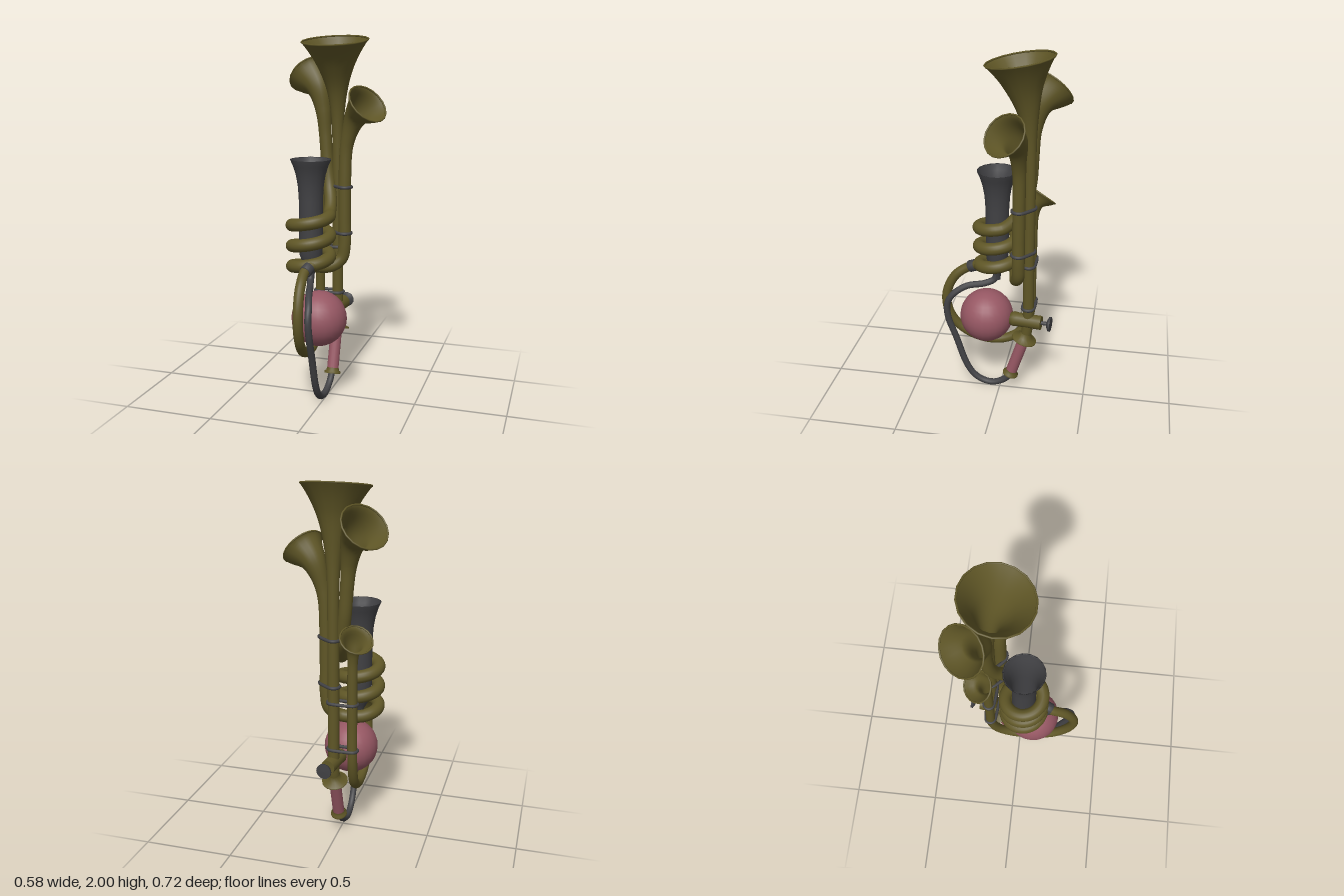
import * as THREE from 'three';
import { mergeVertices } from 'three/addons/utils/BufferGeometryUtils.js';

const V = (x, y, z) => new THREE.Vector3(x, y, z);
const mat = (name, color) => {
  const m = new THREE.MeshStandardMaterial({ color, side: THREE.DoubleSide });
  m.name = name;
  return m;
};

export function createModel() {
  const brass = mat('dull brass', 0x5f5626);
  const rubber = mat('pink rubber', 0x965763);
  const dark = mat('dark grey', 0x414144);
  const model = new THREE.Group();

  const add = (name, geometry, material) => {
    const mesh = new THREE.Mesh(geometry, material);
    mesh.name = name;
    model.add(mesh);
    return mesh;
  };
  const path = (points, closed = false) => {
    const c = new THREE.CatmullRomCurve3(points, closed);
    c.arcLengthDivisions = 800;
    return c;
  };
  const tube = (name, points, r, material, n = 64, closed = false) =>
    add(name, new THREE.TubeGeometry(path(points, closed), n, r, 10, closed), material);

  // Pipe that flares into a bell at its end and, optionally, at its start
  const flare = (bell, d, stem) =>
    bell ? stem + (bell.r - stem) * Math.max(0, 1 - d / bell.length) ** 3.3 : stem;
  const hornPipe = (name, points, stem, end, start, n) => {
    const curve = path(points);
    const length = curve.getLength();
    const sides = 18;
    const g = new THREE.TubeGeometry(curve, n, 1, sides);
    const p = g.attributes.position, nor = g.attributes.normal;
    for (let i = 0; i <= n; i++) {
      const c = curve.getPointAt(i / n);
      const d = (length * i) / n;
      const r = Math.max(flare(start, d, stem), flare(end, length - d, stem));
      for (let j = 0; j <= sides; j++) {
        const k = i * (sides + 1) + j;
        p.setXYZ(k, c.x + nor.getX(k) * r, c.y + nor.getY(k) * r, c.z + nor.getZ(k) * r);
      }
    }
    g.deleteAttribute('normal');
    g.deleteAttribute('uv');
    const smooth = mergeVertices(g, 1e-5);
    smooth.computeVertexNormals();
    add(name, smooth, brass);
    // Rolled rims
    [[end, 1], [start, 0]].forEach(([bell, t]) => {
      if (!bell) return;
      const rim = add(name + 'Rim', new THREE.TorusGeometry(bell.r - 0.003, 0.005, 6, sides), brass);
      rim.position.copy(curve.getPointAt(t));
      rim.quaternion.setFromUnitVectors(V(0, 0, 1), curve.getTangentAt(t));
    });
  };

  // Turned part with its axis running from a towards b; profile pairs are [radius, distance]
  const turned = (name, a, b, profile, material) => {
    const g = new THREE.LatheGeometry(profile.map(([r, d]) => new THREE.Vector2(r, d)), 18);
    const mesh = add(name, g, material);
    mesh.position.copy(a);
    mesh.quaternion.setFromUnitVectors(V(0, 1, 0), b.clone().sub(a).normalize());
  };
  const disc = (r, h, d = 0) => [[0, d], [r, d], [r, d], [r, d + h], [r, d + h], [0, d + h]];

  // Main pipe: tall bell, straight stem, bent foot
  hornPipe('mainHorn', [
    V(0.005, 0.33, -0.138), V(0.005, 0.39, -0.156), V(0.005, 0.47, -0.165), V(0.005, 0.8, -0.165),
    V(0.005, 1.2, -0.165), V(0.005, 1.5, -0.163), V(0.005, 1.7, -0.15), V(0.005, 1.85, -0.125),
    V(0.005, 1.97, -0.105),
  ], 0.031, { r: 0.183, length: 0.65 }, null, 90);

  // Right-hand bell, coil and rear bell are one continuous pipe
  const coilX = -0.09, coilZ = 0.028, coilR = 0.104;
  const coil = [];
  for (let i = 0; i <= 34; i++) {
    const turn = 0.05 + (2.78 * i) / 34;
    const a = 1.5 * Math.PI - turn * Math.PI * 2;
    coil.push(V(coilX + coilR * Math.cos(a), 0.72 + 0.115 * turn, coilZ + coilR * Math.sin(a)));
  }
  hornPipe('coiledHorn', [
    V(0.2, 1.64, -0.06), V(0.125, 1.57, -0.105), V(0.072, 1.42, -0.115), V(0.06, 1.2, -0.115),
    V(0.06, 1.0, -0.115), V(0.06, 0.85, -0.115), V(0.045, 0.775, -0.112), V(-0.01, 0.73, -0.09),
    ...coil,
    V(-0.012, 1.1, -0.085), V(-0.035, 1.18, -0.135), V(-0.055, 1.3, -0.16), V(-0.068, 1.45, -0.167),
    V(-0.082, 1.6, -0.17), V(-0.112, 1.715, -0.192), V(-0.18, 1.79, -0.25),
  ], 0.035, { r: 0.13, length: 0.48 }, { r: 0.119, length: 0.42 }, 320);

  // Lower loop rising into the small rear bell
  hornPipe('loopHorn', [
    V(0.005, 0.81, 0.05), V(-0.035, 0.79, 0.12), V(-0.072, 0.765, 0.17), V(-0.07, 0.7, 0.265),
    V(-0.065, 0.6, 0.317), V(-0.065, 0.5, 0.323), V(-0.07, 0.4, 0.285), V(-0.08, 0.32, 0.205),
    V(-0.085, 0.28, 0.09), V(-0.09, 0.288, -0.02), V(-0.095, 0.345, -0.11), V(-0.1, 0.46, -0.16),
    V(-0.1, 0.7, -0.168), V(-0.1, 0.95, -0.17), V(-0.102, 1.08, -0.172), V(-0.11, 1.16, -0.182),
    V(-0.132, 1.205, -0.212),
  ], 0.027, { r: 0.09, length: 0.2 }, null, 150);
  turned('loopClamp', V(-0.06, 0.776, 0.148), V(-0.073, 0.755, 0.19),
    [[0.026, 0], [0.034, 0], [0.034, 0.04], [0.026, 0.04]], dark);

  // Dark upright horn inside the coil
  turned('darkHorn', V(coilX, 0, coilZ), V(coilX, 1, coilZ), [
    [0.017, 0.68], [0.022, 0.73], [0.045, 0.77], [0.064, 0.82], [0.066, 0.9], [0.066, 1.12],
    [0.071, 1.2], [0.081, 1.26], [0.096, 1.31], [0.112, 1.345], [0.106, 1.343],
  ], dark);

  // Hose from the grip up to the dark horn
  tube('hose', [
    V(0.002, 0.12, -0.075), V(-0.002, 0.06, -0.035), V(-0.006, 0.024, 0.03), V(-0.01, 0.024, 0.09),
    V(-0.01, 0.058, 0.15), V(-0.01, 0.125, 0.197), V(-0.01, 0.31, 0.26), V(-0.01, 0.45, 0.307),
    V(-0.014, 0.53, 0.31), V(-0.02, 0.59, 0.28), V(-0.045, 0.642, 0.2), V(-0.072, 0.655, 0.1),
    V(-0.088, 0.68, 0.045), V(-0.09, 0.74, 0.028),
  ], 0.019, dark, 110);

  // Squeeze bulb with its valve and screw knob
  const bulb = add('bulb', new THREE.SphereGeometry(0.153, 24, 16), rubber);
  bulb.position.set(-0.027, 0.475, 0.08);
  const valveStart = V(-0.007, 0.478, -0.055), valveEnd = V(0.024, 0.478, -0.3);
  turned('valve', valveStart, valveEnd,
    [[0, 0], [0.033, 0], [0.043, 0.03], [0.04, 0.05], [0.04, 0.19], [0.04, 0.19], [0, 0.19]], brass);
  turned('knobRod', valveStart, valveEnd, disc(0.011, 0.06, 0.18), dark);
  turned('knob', valveStart, valveEnd,
    [[0, 0.222], [0.022, 0.224], [0.042, 0.234], [0.042, 0.245], [0.042, 0.245], [0, 0.247]], dark);

  // Pink grip between a brass guard and end cap
  const gripTop = V(0.005, 0.36, -0.147), gripEnd = V(0.005, 0.1, -0.064);
  turned('guard', gripTop, gripEnd,
    [[0.031, -0.04], [0.038, -0.01], [0.072, 0.002], [0.072, 0.01], [0.072, 0.01], [0, 0.012]], brass);
  turned('grip', gripTop, gripEnd, disc(0.033, 0.26), rubber);
  turned('gripCap', gripTop, gripEnd,
    [[0.034, 0.24], [0.036, 0.255], [0.046, 0.262], [0.046, 0.272], [0.046, 0.272], [0, 0.274]], brass);

  // Dark wire bands tying neighbouring pipes together
  const band = (y, a, b, ra, rb) => {
    const angle = Math.atan2(b[1] - a[1], b[0] - a[0]);
    const points = [];
    [[a, ra, Math.PI / 2], [b, rb, -Math.PI / 2]].forEach(([c, r, from]) => {
      for (let i = 0; i <= 6; i++) {
        const t = angle + from + (Math.PI * i) / 6;
        points.push(V(c[0] + r * Math.cos(t), y, c[1] + r * Math.sin(t)));
      }
    });
    tube('band', points, 0.009, dark, 56, true);
  };
  const main = [0.005, -0.165], right = [0.06, -0.115], rear = [-0.1, -0.169];
  band(1.18, main, right, 0.034, 0.037);
  band(0.92, main, right, 0.033, 0.037);
  band(0.83, main, rear, 0.033, 0.029);
  band(0.56, main, rear, 0.033, 0.029);

  return model;
}
